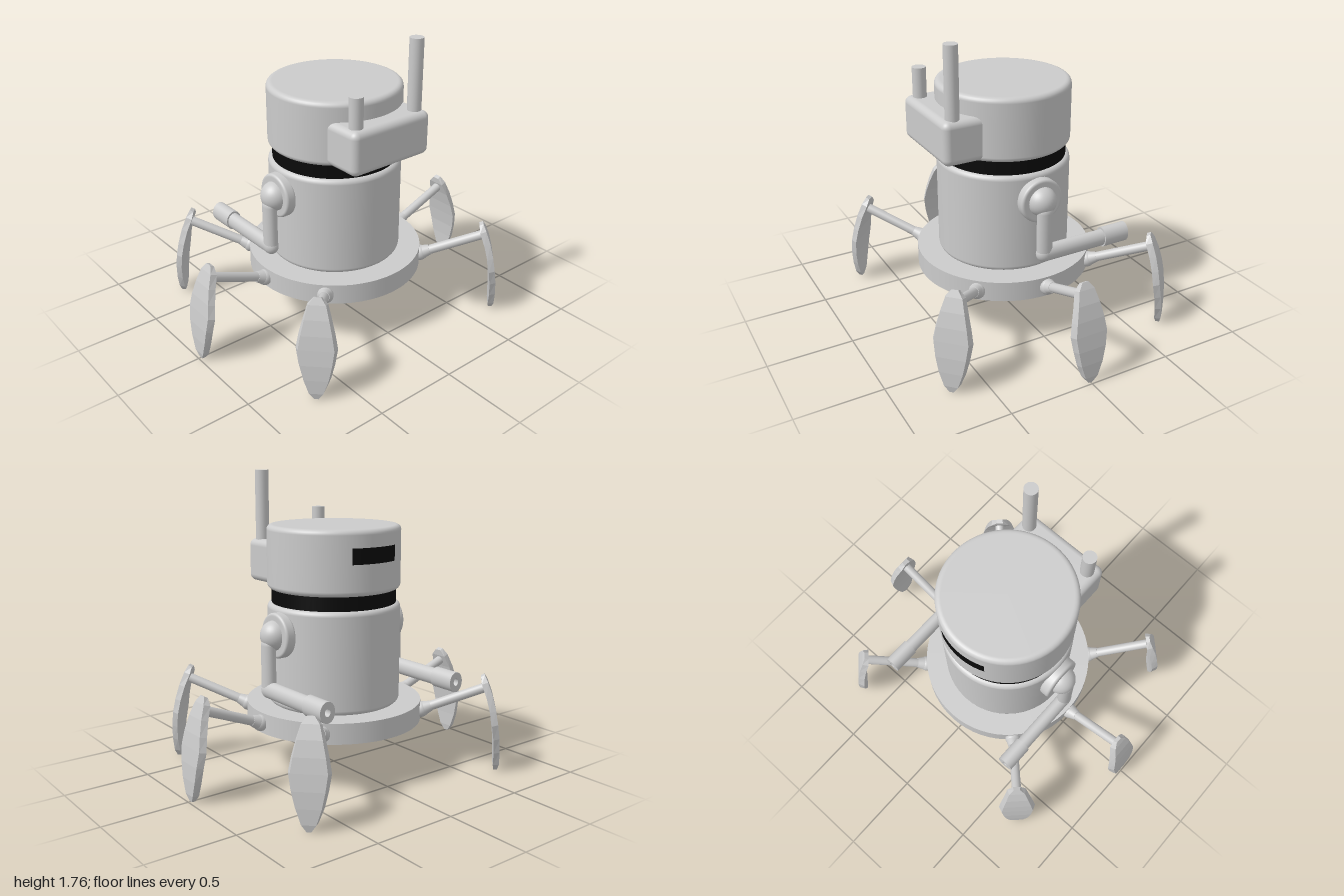
import * as THREE from 'three';
import { RoundedBoxGeometry } from 'three/addons/geometries/RoundedBoxGeometry.js';

const grey = new THREE.MeshStandardMaterial({ color: 0xcccccc });
const greyFlat = new THREE.MeshStandardMaterial({ color: 0xcccccc, flatShading: true });
const black = new THREE.MeshStandardMaterial({ color: 0x0a0a0a, side: THREE.DoubleSide });

function part(parent, name, geometry, material = grey, x = 0, y = 0, z = 0) {
  const mesh = new THREE.Mesh(geometry, material);
  mesh.name = name;
  mesh.position.set(x, y, z);
  parent.add(mesh);
  return mesh;
}

// Closed drum with filleted rims, from y0 to y1
function drum(r, y0, y1, fillet, segments = 64) {
  const pts = [new THREE.Vector2(0, y0), new THREE.Vector2(r - fillet - 0.005, y0)];
  for (const [cy, start] of [[y0 + fillet, -Math.PI / 2], [y1 - fillet, 0]]) {
    for (let i = 0; i <= 6; i++) {
      const a = start + (i / 6) * Math.PI / 2;
      pts.push(new THREE.Vector2(r - fillet + fillet * Math.cos(a), cy + fillet * Math.sin(a)));
    }
  }
  pts.push(new THREE.Vector2(r - fillet - 0.005, y1), new THREE.Vector2(0, y1));
  return new THREE.LatheGeometry(pts, segments);
}

// Round bar between two points
function bar(parent, name, a, b, r0, r1 = r0) {
  const from = new THREE.Vector3(...a), to = new THREE.Vector3(...b);
  const dir = to.clone().sub(from);
  const mesh = part(parent, name, new THREE.CylinderGeometry(r1, r0, dir.length(), 24));
  mesh.position.copy(from).add(to).multiplyScalar(0.5);
  mesh.quaternion.setFromUnitVectors(new THREE.Vector3(0, 1, 0), dir.normalize());
  return mesh;
}

// Curved blade foot: quad sections of [outer x, y, half width]
function footGeometry() {
  const rows = [
    [0.985, 0.005, 0.014], [0.993, 0.045, 0.045], [0.993, 0.13, 0.077], [0.988, 0.22, 0.098],
    [0.976, 0.31, 0.112], [0.962, 0.39, 0.098], [0.94, 0.475, 0.077], [0.912, 0.55, 0.055],
    [0.893, 0.588, 0.022],
  ];
  const loops = rows.map(([x, y, w], i) => {
    const end = i === 0 || i === rows.length - 1;
    const t = end ? 0.022 : 0.036;
    const drop = 0.012 * (y / 0.6);
    return [[x, y, w * 0.86], [x, y, -w * 0.86], [x - t, y - drop, -w], [x - t, y - drop, w]];
  });
  const pos = [];
  const quad = (a, b, c, d) => pos.push(...a, ...b, ...c, ...a, ...c, ...d);
  for (let i = 0; i < loops.length - 1; i++) {
    for (let j = 0; j < 4; j++) {
      const k = (j + 1) % 4;
      quad(loops[i][j], loops[i][k], loops[i + 1][k], loops[i + 1][j]);
    }
  }
  const top = loops[loops.length - 1], bottom = loops[0];
  quad(top[0], top[1], top[2], top[3]);
  quad(bottom[3], bottom[2], bottom[1], bottom[0]);
  const g = new THREE.BufferGeometry();
  g.setAttribute('position', new THREE.Float32BufferAttribute(pos, 3));
  g.computeVertexNormals();
  return g;
}

// Leg reaching out along +x
function makeLeg(angle) {
  const leg = new THREE.Group();
  leg.name = 'leg';
  part(leg, 'hipJoint', new THREE.SphereGeometry(0.047, 24, 16), grey, 0.525, 0.36, 0);
  bar(leg, 'legSocket', [0.53, 0.362, 0], [0.585, 0.385, 0], 0.045, 0.03);
  bar(leg, 'legRod', [0.54, 0.367, 0], [0.915, 0.515, 0], 0.028);
  part(leg, 'foot', footGeometry(), greyFlat);
  leg.rotation.y = angle;
  return leg;
}

// Arm on the +x or -x side, with the barrel pointing to -z
function makeArm(side) {
  const arm = new THREE.Group();
  arm.name = side > 0 ? 'leftArm' : 'rightArm';
  const plate = part(arm, 'shoulderPlate', drum(0.13, 0, 0.065, 0.015, 40), grey, side * 0.37, 0.855, -0.012);
  plate.rotation.z = -side * Math.PI / 2;
  part(arm, 'shoulderBall', new THREE.SphereGeometry(0.086, 32, 20), grey, side * 0.425, 0.857, -0.01);

  // Limb is slightly flattened sideways
  const limb = new THREE.Group();
  limb.name = 'limb';
  limb.position.set(side * 0.47, 0, -0.008);
  limb.scale.x = 0.82;
  part(limb, 'armTop', new THREE.SphereGeometry(0.048, 24, 16), grey, 0, 0.805, 0);
  bar(limb, 'upperArm', [0, 0.805, 0], [0, 0.545, 0], 0.048);
  part(limb, 'elbow', new THREE.SphereGeometry(0.051, 24, 16), grey, 0, 0.548, 0);
  bar(limb, 'forearm', [0, 0.548, 0], [0, 0.548, -0.4], 0.05);
  const profile = [[0, 0], [0.06, 0], [0.06, 0], [0.06, 0.16], [0.06, 0.16],
    [0.022, 0.16], [0.022, 0.16], [0.022, 0.09], [0.022, 0.09], [0, 0.09]];
  const barrel = new THREE.LatheGeometry(profile.map(p => new THREE.Vector2(...p)), 32);
  part(limb, 'barrel', barrel, greyFlatFree(), 0, 0.55, -0.388).rotation.x = -Math.PI / 2;
  arm.add(limb);
  return arm;
}

function greyFlatFree() {
  return grey;
}

export function createModel() {
  const model = new THREE.Group();
  model.name = 'walkerRobot';

  // Stacked body
  part(model, 'base', new THREE.CylinderGeometry(0.52, 0.52, 0.12, 64), grey, 0, 0.36, 0);
  part(model, 'torso', drum(0.39, 0.415, 1.01, 0.03));
  part(model, 'neck', new THREE.CylinderGeometry(0.365, 0.365, 0.12, 64), black, 0, 1.05, 0);
  part(model, 'head', drum(0.39, 1.09, 1.46, 0.03));

  // Curved eye slot facing -z
  const eye = new THREE.CylinderGeometry(0.392, 0.392, 0.09, 16, 1, true, Math.PI - 0.4, 0.8);
  part(model, 'eyeSlot', eye, black, 0, 1.315, 0);

  // Pack with two antennas on the +z side
  part(model, 'pack', new RoundedBoxGeometry(0.55, 0.255, 0.3, 5, 0.04), grey, 0, 1.223, 0.35);
  for (const [x, top] of [[0.215, 1.76], [-0.205, 1.525]]) {
    bar(model, 'antenna', [x, 1.3, 0.425], [x, top, 0.425], 0.04);
  }

  for (const side of [1, -1]) model.add(makeArm(side));
  for (const degrees of [0, 45, 135, 180, 225, 315]) {
    model.add(makeLeg(THREE.MathUtils.degToRad(degrees)));
  }
  return model;
}
